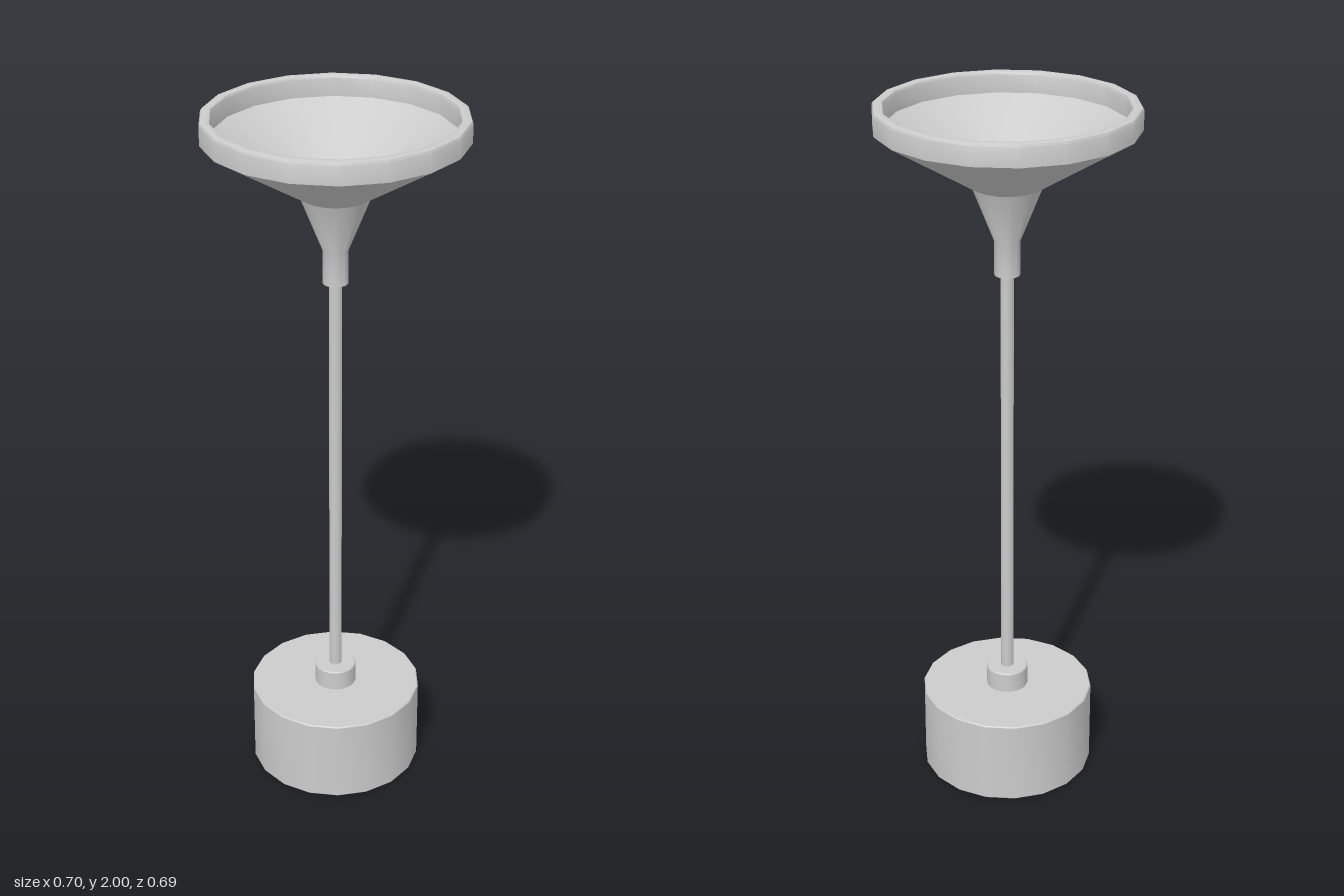
import * as THREE from 'three';
import { toCreasedNormals } from 'three/addons/utils/BufferGeometryUtils.js';

const SIDES = 18;
const material = new THREE.MeshStandardMaterial({ color: 0xcccccc });

// Revolve a [radius, height] profile; a corner of the polygon points to +x
function turned(name, profile) {
  const points = profile.map(([r, y]) => new THREE.Vector2(r, y));
  const lathe = new THREE.LatheGeometry(points, SIDES, Math.PI / 2);
  const mesh = new THREE.Mesh(toCreasedNormals(lathe, Math.PI / 6), material);
  mesh.name = name;
  return mesh;
}

export function createModel() {
  const model = new THREE.Group();
  model.name = 'pendantLamp';

  // Hollow drum with a closed top and an open underside
  model.add(turned('drum', [
    [0, 0.2], [0.198, 0.2], [0.198, 0.004], [0.202, 0], [0.242, 0],
    [0.247, 0.005], [0.247, 0.247], [0.244, 0.25], [0, 0.25],
  ]));

  // Short collar where the rod enters the drum
  model.add(turned('collar', [
    [0, 0.25], [0.06, 0.25], [0.06, 0.307], [0.057, 0.311], [0, 0.311],
  ]));

  // Long thin rod
  model.add(turned('rod', [[0, 0.3], [0.018, 0.3], [0.018, 1.56], [0, 1.56]]));

  // Funnel canopy: sleeve, neck, wide cone, rounded rim, then the inside
  model.add(turned('canopy', [
    [0, 1.535], [0.035, 1.535], [0.035, 1.63], [0.095, 1.782],
    [0.352, 1.94], [0.352, 1.992], [0.349, 1.998], [0.343, 2],
    [0.331, 2], [0.325, 1.998], [0.322, 1.992], [0.322, 1.942],
    [0.067, 1.785], [0.035, 1.7], [0, 1.7],
  ]));

  return model;
}
